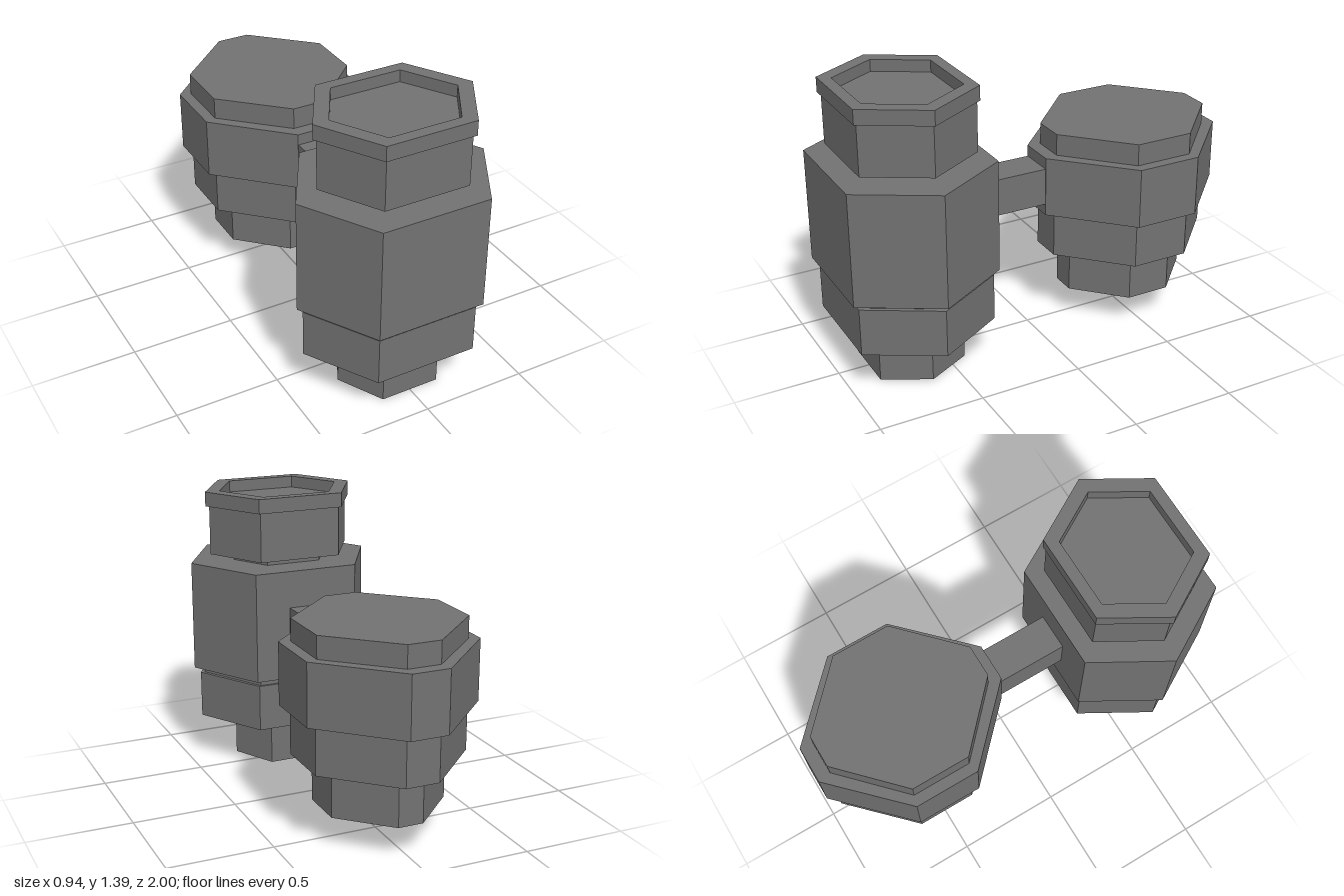
import * as THREE from 'three';

const material = new THREE.MeshStandardMaterial({ color: 0x727272, flatShading: true });

// Outline with half sizes hx, hz; fx and fz are half lengths of the flat sides (fz = 0 gives a hexagon).
function outline(hx, hz, fx, fz) {
  const pts = fz > 0
    ? [[hx, -fz], [hx, fz], [fx, hz], [-fx, hz], [-hx, fz], [-hx, -fz], [-fx, -hz], [fx, -hz]]
    : [[hx, 0], [fx, hz], [-fx, hz], [-hx, 0], [-fx, -hz], [fx, -hz]];
  return pts.map(([x, y]) => new THREE.Vector2(x, y));
}

// Upright prism from y0 to y1, optionally with a hole through it.
function prism(name, y0, y1, size, z, hole) {
  const shape = new THREE.Shape(outline(...size));
  if (hole) shape.holes.push(new THREE.Path(outline(...hole).reverse()));
  const geo = new THREE.ExtrudeGeometry(shape, { depth: y1 - y0, bevelEnabled: false });
  geo.rotateX(-Math.PI / 2);
  const mesh = new THREE.Mesh(geo, material);
  mesh.name = name;
  mesh.position.set(0, y0, z);
  return mesh;
}

export function createModel() {
  const model = new THREE.Group();
  model.name = 'twinTowers';

  // Front six-sided tower, bottom to top
  const front = new THREE.Group();
  front.name = 'hexagonalTower';
  const zf = 0.643;
  front.add(
    prism('foot', 0, 0.23, [0.255, 0.216, 0.142, 0], 0.633),
    prism('lowerTier', 0.23, 0.461, [0.437, 0.332, 0.245, 0], 0.639),
    prism('groove', 0.461, 0.49, [0.416, 0.318, 0.234, 0], 0.637),
    prism('body', 0.49, 1.035, [0.468, 0.357, 0.262, 0], zf),
    prism('neck', 1.035, 1.073, [0.247, 0.187, 0.138, 0], 0.633),
    prism('head', 1.073, 1.33, [0.368, 0.28, 0.206, 0], 0.638),
    prism('rim', 1.316, 1.387, [0.387, 0.292, 0.216, 0], 0.64, [0.311, 0.237, 0.172, 0]),
  );

  // Rear eight-sided tower, bottom to top
  const rear = new THREE.Group();
  rear.name = 'octagonalTower';
  const zr = -0.525;
  rear.add(
    prism('foot', 0.156, 0.382, [0.28, 0.322, 0.06, 0.108], zr),
    prism('lowerTier', 0.382, 0.614, [0.37, 0.423, 0.08, 0.14], zr),
    prism('body', 0.614, 0.907, [0.415, 0.475, 0.09, 0.157], zr),
    prism('lid', 0.907, 1.012, [0.363, 0.412, 0.079, 0.142], zr),
  );

  // Bar joining the towers
  const bar = new THREE.Mesh(new THREE.BoxGeometry(0.175, 0.182, 0.36), material);
  bar.name = 'connectingBar';
  bar.position.set(0, 0.761, 0.117);

  model.add(front, rear, bar);
  return model;
}
